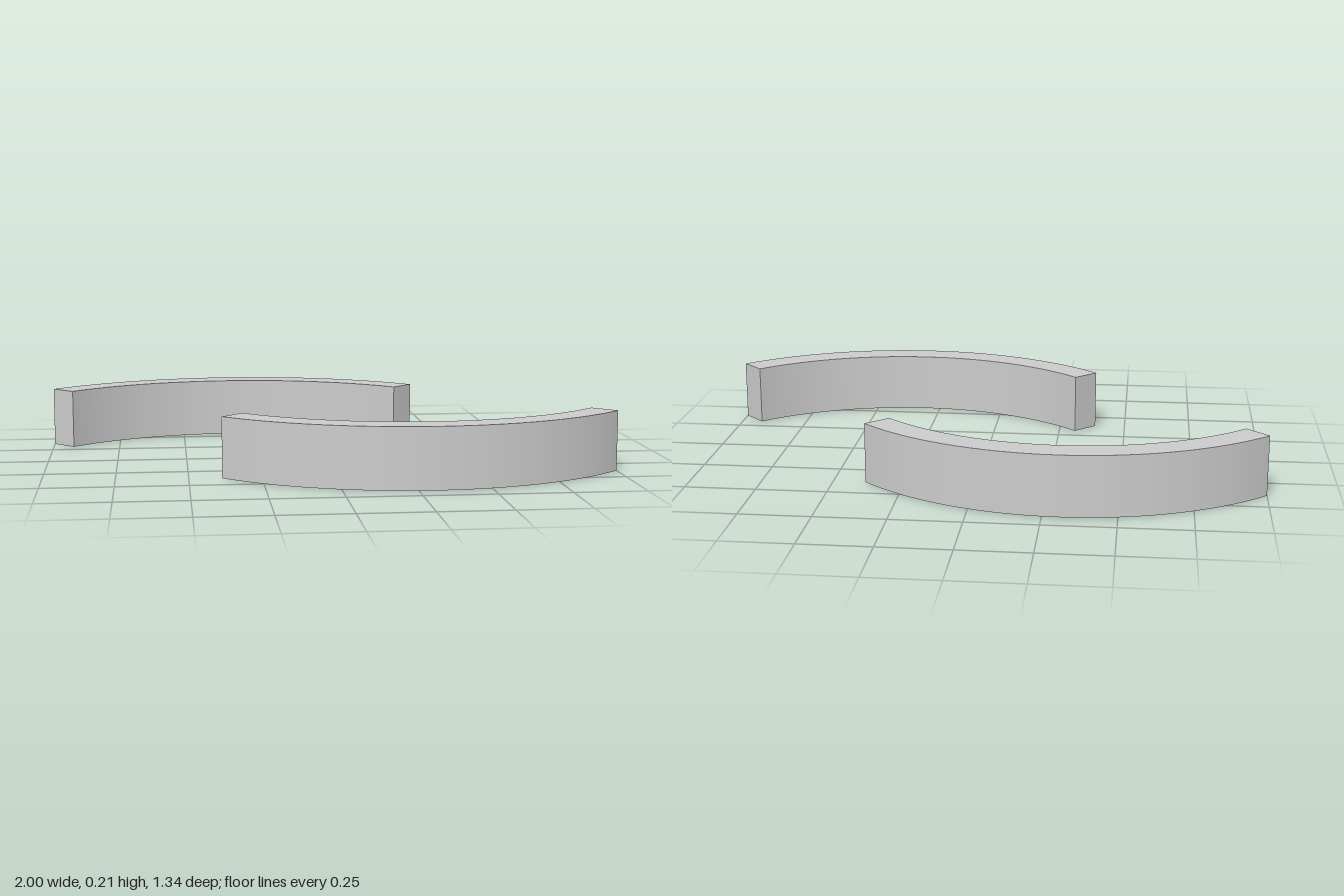
import * as THREE from 'three';
import { toCreasedNormals } from 'three/addons/utils/BufferGeometryUtils.js';

const OUTER = 0.98, INNER = 0.873, HEIGHT = 0.214;
const CENTRE_X = 0.307, CENTRE_Z = -0.309;

// Quarter-ring bar, bulging towards +z, standing on y = 0
function arcBarGeometry() {
  const start = -Math.PI * 0.75, end = -Math.PI * 0.25;
  const shape = new THREE.Shape();
  shape.absarc(0, 0, OUTER, start, end, false);
  shape.absarc(0, 0, INNER, end, start, true);
  shape.closePath();
  const geometry = new THREE.ExtrudeGeometry(shape, {
    depth: HEIGHT, bevelEnabled: false, curveSegments: 48,
  });
  geometry.rotateX(-Math.PI / 2);
  geometry.translate(CENTRE_X, 0, CENTRE_Z);
  return toCreasedNormals(geometry, Math.PI / 6);
}

export function createModel() {
  const group = new THREE.Group();
  group.name = 'offsetArcBars';
  const material = new THREE.MeshStandardMaterial({ color: 0xcccccc });
  const geometry = arcBarGeometry();

  // The back bar is the front one turned half way round the vertical axis
  ['frontArcBar', 'backArcBar'].forEach((name, i) => {
    const bar = new THREE.Mesh(geometry, material);
    bar.name = name;
    bar.rotation.y = i * Math.PI;
    group.add(bar);
  });
  return group;
}
